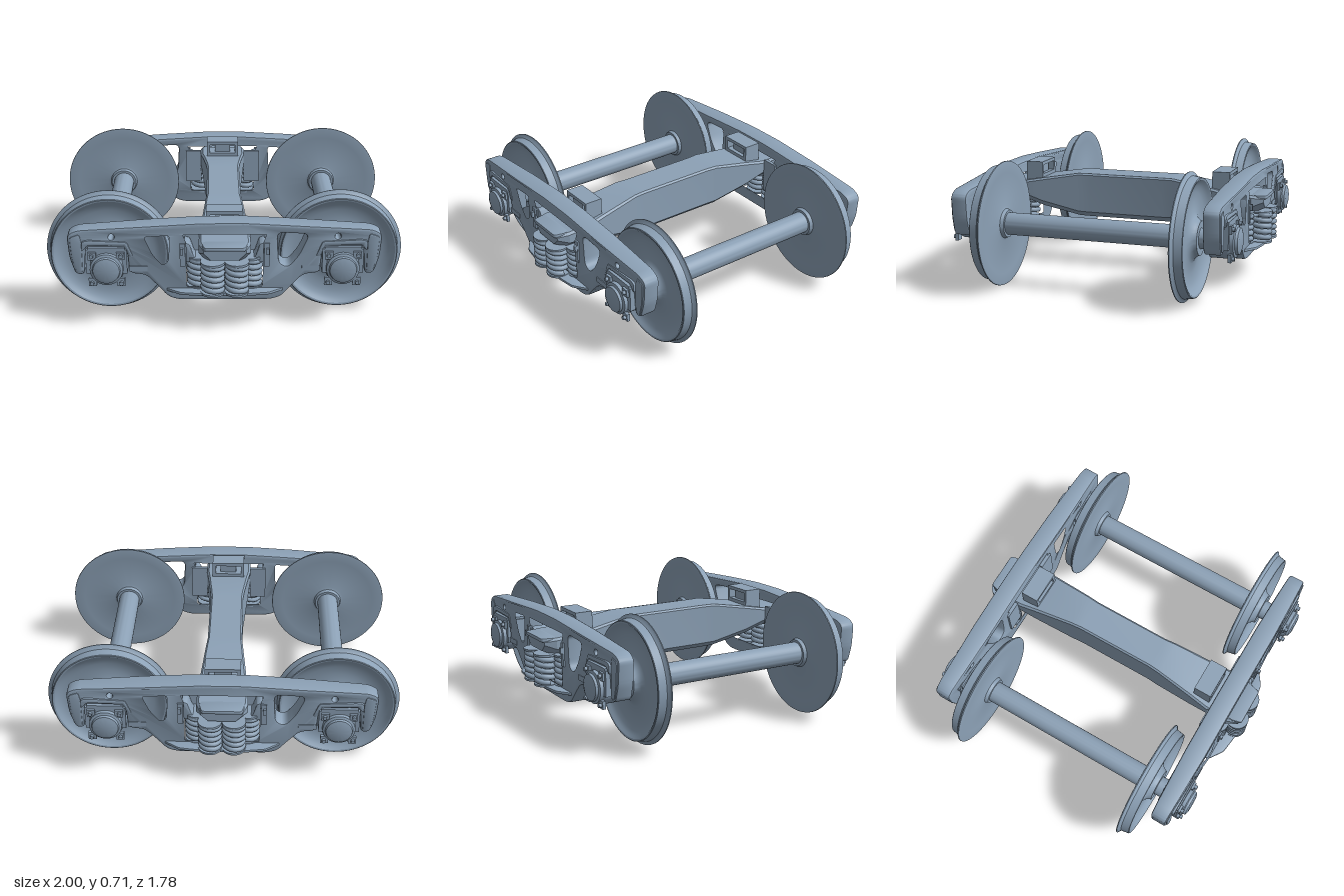
import * as THREE from 'three';
import { toCreasedNormals } from 'three/addons/utils/BufferGeometryUtils.js';

const mat = new THREE.MeshStandardMaterial({ color: 0x8ca1b6 });
const V2 = (p) => new THREE.Vector2(p[0], p[1]);

function add(parent, name, geo, x = 0, y = 0, z = 0) {
  const m = new THREE.Mesh(geo, mat);
  m.name = name;
  m.position.set(x, y, z);
  parent.add(m);
  return m;
}

// Box given by its limits
function box(parent, name, x0, x1, y0, y1, z0, z1) {
  const g = new THREE.BoxGeometry(x1 - x0, y1 - y0, z1 - z0);
  return add(parent, name, g, (x0 + x1) / 2, (y0 + y1) / 2, (z0 + z1) / 2);
}

// Closed polygon with rounded corners
function rounded(path, pts, r) {
  const n = pts.length;
  pts.map(V2).forEach((p, i, a) => {
    const toward = (q) => p.clone().lerp(q, Math.min(0.45, r / p.distanceTo(q)));
    const s = toward(a[(i + n - 1) % n]), e = toward(a[(i + 1) % n]);
    if (i) path.lineTo(s.x, s.y); else path.moveTo(s.x, s.y);
    path.quadraticCurveTo(p.x, p.y, e.x, e.y);
  });
  path.closePath();
  return path;
}

const mirrored = (half) => [...half, ...half.map(([x, y]) => [-x, y]).reverse()];

function extrude(shape, depth, bevel = 0.008) {
  const g = new THREE.ExtrudeGeometry(shape, {
    depth: depth - 2 * bevel, bevelThickness: bevel, bevelSize: bevel, bevelOffset: -bevel,
    bevelSegments: 2, curveSegments: 6,
  });
  g.translate(0, 0, bevel);
  return toCreasedNormals(g, 0.6);
}

// Profile of [radius, z] turned around the z axis
function turned(profile, seg = 64) {
  const g = new THREE.LatheGeometry(profile.map(V2), seg);
  g.rotateX(Math.PI / 2);
  return toCreasedNormals(g, 0.5);
}

// Loft of octagonal sections [z, half width, bottom, top, chamfer]
function loft(sections) {
  const pos = [], idx = [], n = 8;
  for (const [z, w, b, t, c] of sections) {
    for (const [x, y] of [[w - c, b], [w, b + c], [w, t - c / 3], [w - c / 3, t],
      [c / 3 - w, t], [-w, t - c / 3], [-w, b + c], [c - w, b]]) pos.push(x, y, z);
  }
  for (let s = 0; s < sections.length - 1; s++) {
    for (let i = 0; i < n; i++) {
      const a = s * n + i, b = s * n + (i + 1) % n;
      idx.push(a, b, b + n, a, b + n, a + n);
    }
  }
  const last = (sections.length - 1) * n;
  for (let i = 1; i < n - 1; i++) idx.push(0, i + 1, i, last, last + i, last + i + 1);
  const g = new THREE.BufferGeometry();
  g.setAttribute('position', new THREE.Float32BufferAttribute(pos, 3));
  g.setIndex(idx);
  return toCreasedNormals(g, 0.35);
}

class Helix extends THREE.Curve {
  constructor(r, h, turns) { super(); Object.assign(this, { r, h, turns }); }
  getPoint(t, out = new THREE.Vector3()) {
    const a = t * this.turns * Math.PI * 2;
    return out.set(this.r * Math.cos(a), t * this.h, this.r * Math.sin(a));
  }
}

const wheelX = 0.642, wheelY = 0.357;

function sideFrame() {
  const g = new THREE.Group();
  // Main casting with its three windows and two bearing jaws
  const outline = rounded(new THREE.Shape(), mirrored([[0.12, 0.616], [0.4, 0.6], [0.8, 0.573],
    [0.855, 0.545], [0.845, 0.41], [0.815, 0.31], [0.765, 0.31], [0.755, 0.45], [0.72, 0.475],
    [0.56, 0.475], [0.53, 0.45], [0.52, 0.32], [0.43, 0.31], [0.36, 0.235], [0.31, 0.175],
    [0.25, 0.157]]), 0.03);
  outline.holes.push(rounded(new THREE.Path(), mirrored([[0.245, 0.562], [0.22, 0.5],
    [0.22, 0.228]]), 0.025));
  for (const s of [-1, 1]) {
    outline.holes.push(rounded(new THREE.Path(), [[0.455, 0.548], [0.285, 0.558], [0.295, 0.38],
      [0.345, 0.355], [0.405, 0.43]].map(([x, y]) => [s * x, y]), 0.035));
    outline.holes.push(new THREE.Path().absarc(s * 0.613, 0.535, 0.015, 0, Math.PI * 2));
  }
  const casting = extrude(outline, 0.118, 0.012);
  // Narrow the casting toward its ends
  const p = casting.attributes.position;
  for (let i = 0; i < p.count; i++) {
    const taper = 1 - 0.22 * THREE.MathUtils.clamp((Math.abs(p.getX(i)) - 0.55) / 0.3, 0, 1);
    p.setZ(i, 0.059 + (p.getZ(i) - 0.059) * taper);
  }
  add(g, 'sideFrameCasting', casting, 0, 0, 0.666);

  // Spring seat shelf
  const shelf = rounded(new THREE.Shape(), mirrored([[0.33, 0.76], [0.32, 0.785], [0.24, 0.84],
    [0.13, 0.855]]), 0.015);
  const seat = extrude(shelf, 0.016, 0.004);
  seat.rotateX(Math.PI / 2);
  add(g, 'springSeat', seat, 0, 0.232, 0);

  // Coil springs: three under the bolster, two outboard
  const coil = new THREE.TubeGeometry(new Helix(0.052, 0.15, 4.5), 110, 0.0155, 8);
  const disc = new THREE.CylinderGeometry(0.067, 0.067, 0.012, 28);
  for (const [x, z] of [[-0.142, 0.73], [0, 0.73], [0.142, 0.73], [-0.066, 0.822], [0.066, 0.822]]) {
    add(g, 'coilSpring', coil, x, 0.245, z);
    add(g, 'springFoot', disc, x, 0.229, z);
    add(g, 'springCap', disc, x, 0.405, z);
  }

  for (const s of [-1, 1]) {
    const sbox = (name, a, b, ...rest) => box(g, name, Math.min(s * a, s * b), Math.max(s * a, s * b), ...rest);
    // Friction wedge, column guide and inner stop
    const wedge = rounded(new THREE.Shape(), [[0.222, 0.38], [0.222, 0.5], [0.19, 0.49],
      [0.168, 0.42], [0.15, 0.4], [0.15, 0.38]].map(([x, y]) => [s * x, y]), 0.01);
    add(g, 'frictionWedge', extrude(wedge, 0.1), 0, 0, 0.675);
    sbox('columnGuide', 0.214, 0.244, 0.365, 0.5, 0.77, 0.793);
    sbox('columnLug', 0.225, 0.242, 0.44, 0.475, 0.785, 0.808);
    sbox('innerStop', 0.14, 0.24, 0.31, 0.52, 0.654, 0.675);

    // Raised pads around the bearing jaw
    const leg = rounded(new THREE.Shape(), [[0.775, 0.325], [0.81, 0.325], [0.832, 0.41], [0.84, 0.53],
      [0.785, 0.55], [0.775, 0.5]].map(([x, y]) => [s * x, y]), 0.015);
    add(g, 'jawLegPad', extrude(leg, 0.02, 0.005), 0, 0, 0.758);
    const brow = rounded(new THREE.Shape(), [[0.52, 0.42], [0.54, 0.485], [0.74, 0.49], [0.775, 0.45],
      [0.775, 0.51], [0.74, 0.518], [0.53, 0.508], [0.495, 0.42]].map(([x, y]) => [s * x, y]), 0.015);
    add(g, 'jawBrow', extrude(brow, 0.02, 0.005), 0, 0, 0.768);
    sbox('frameRib', 0.42, 0.52, 0.335, 0.365, 0.77, 0.788);

    // Bearing, adapter and bolted end cap
    const bearing = new THREE.Group();
    bearing.name = 'axleBearing';
    bearing.position.set(s * wheelX, wheelY, 0);
    g.add(bearing);
    add(bearing, 'bearingCup', turned([[0, 0.66], [0.075, 0.66], [0.085, 0.675], [0.098, 0.68],
      [0.098, 0.785], [0.088, 0.8], [0, 0.8]], 40));
    add(bearing, 'endCap', turned([[0, 0.795], [0.09, 0.795], [0.09, 0.815], [0.076, 0.82],
      [0.072, 0.834], [0.05, 0.841], [0, 0.841]], 40));
    box(bearing, 'bearingAdapter', -0.1, 0.1, 0.07, 0.122, 0.665, 0.795);
    for (const k of [-1, 1]) {
      box(bearing, 'adapterSide', k * 0.099 - 0.013, k * 0.099 + 0.013, -0.03, 0.11, 0.675, 0.795);
      for (const j of [-1, 1]) {
        box(bearing, 'capLug', k * 0.077 - 0.022, k * 0.077 + 0.022, j * 0.077 - 0.022,
          j * 0.077 + 0.022, 0.79, 0.808);
        const bolt = new THREE.CylinderGeometry(0.012, 0.012, 0.02, 6);
        bolt.rotateX(Math.PI / 2);
        add(bearing, 'capBolt', bolt, k * 0.08, j * 0.08, 0.814);
      }
    }
  }

  // Side bearing on top of the bolster
  box(g, 'sideBearingBase', -0.1, 0.1, 0.49, 0.55, 0.535, 0.64);
  box(g, 'sideBearingTop', -0.1, 0.1, 0.605, 0.625, 0.535, 0.64);
  for (const s of [-1, 1]) box(g, 'sideBearingWall', s * 0.09 - 0.01, s * 0.09 + 0.01, 0.54, 0.61, 0.535, 0.64);
  box(g, 'sideBearingBlock', -0.05, 0.05, 0.54, 0.61, 0.56, 0.63);

  // Lip on the bolster end
  const lip = rounded(new THREE.Shape(), mirrored([[0.115, 0.77], [0.125, 0.8], [0.11, 0.862]]), 0.015);
  const lipGeo = extrude(lip, 0.022, 0.005);
  lipGeo.rotateX(Math.PI / 2);
  add(g, 'bolsterEndLip', lipGeo, 0, 0.505, 0);
  return g;
}

export function createModel() {
  const model = new THREE.Group();
  model.name = 'railTruck';

  // Bolster across the middle
  const half = [[0.23, 0.1, 0.302, 0.568, 0.03], [0.3, 0.106, 0.305, 0.568, 0.03],
    [0.53, 0.128, 0.355, 0.53, 0.035], [0.64, 0.14, 0.395, 0.51, 0.035], [0.78, 0.142, 0.4, 0.504, 0.04],
    [0.845, 0.115, 0.425, 0.495, 0.04]];
  add(model, 'bolster', loft([...half.map(([z, ...r]) => [-z, ...r]).reverse(), ...half]));

  // Side frames
  for (const [name, turn] of [['frontSideFrame', 0], ['rearSideFrame', Math.PI]]) {
    const f = sideFrame();
    f.name = name;
    f.rotation.y = turn;
    model.add(f);
  }

  // Wheelsets
  const wheelGeo = turned([[0.05, 0.515], [0.078, 0.515], [0.085, 0.535], [0.1, 0.54], [0.29, 0.538],
    [0.345, 0.535], [0.356, 0.537], [0.357, 0.543], [0.345, 0.549], [0.336, 0.558], [0.328, 0.603],
    [0.324, 0.606], [0.314, 0.604], [0.3, 0.592], [0.28, 0.579], [0.25, 0.57], [0.2, 0.566],
    [0.14, 0.573], [0.115, 0.584], [0.1, 0.602], [0.095, 0.618], [0.05, 0.618]], 72);
  const axleGeo = turned([[0, -0.7], [0.057, -0.7], [0.057, -0.6], [0.064, -0.53],
    [0.064, 0.53], [0.057, 0.6], [0.057, 0.7], [0, 0.7]], 40);
  for (const s of [-1, 1]) {
    const set = new THREE.Group();
    set.name = s > 0 ? 'leftWheelset' : 'rightWheelset';
    set.position.set(s * wheelX, wheelY, 0);
    add(set, 'axle', axleGeo);
    add(set, 'frontWheel', wheelGeo);
    add(set, 'rearWheel', wheelGeo).rotation.y = Math.PI;
    model.add(set);
  }
  return model;
}
